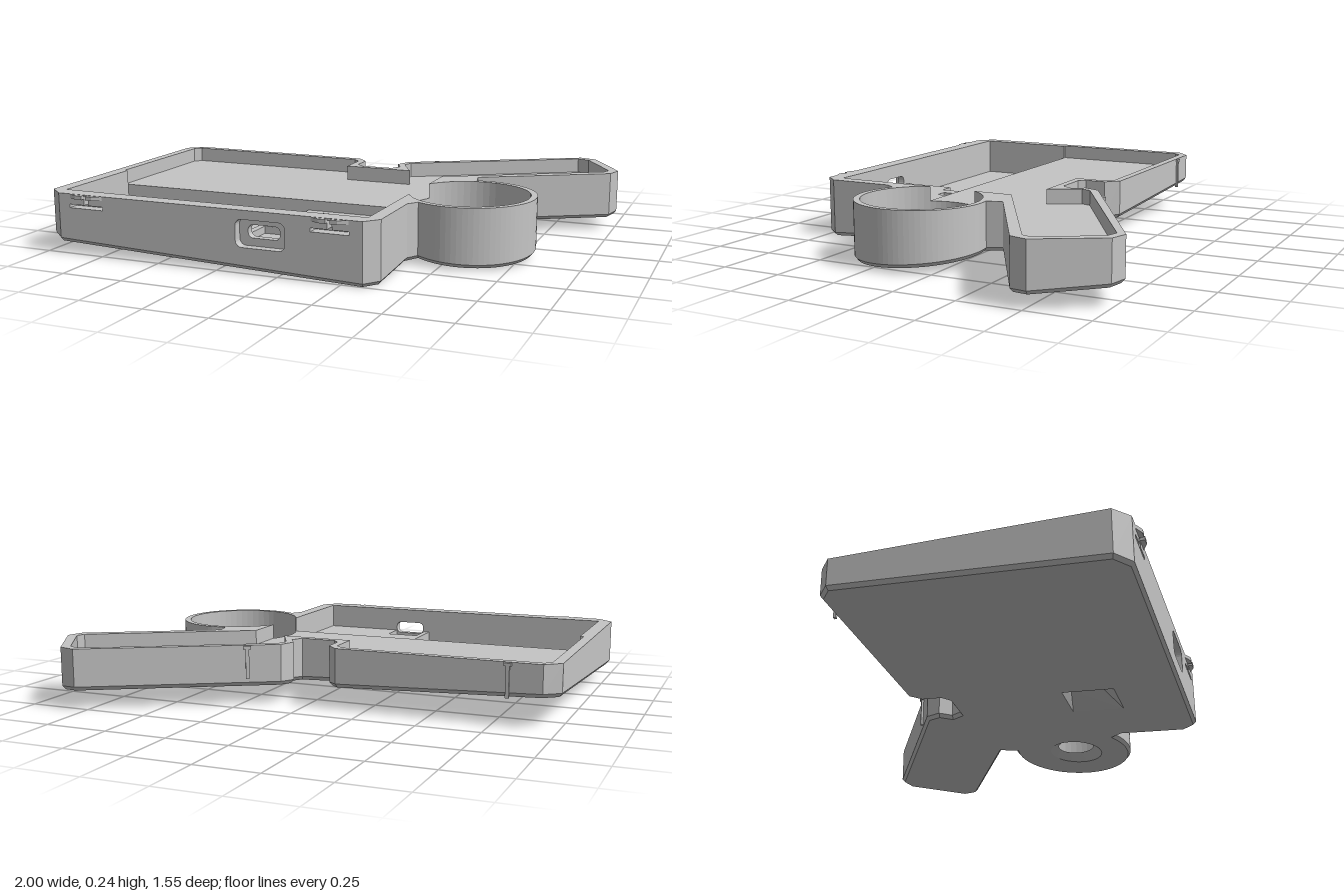
import * as THREE from 'three';

const TOP = 0.24, FLOOR = 0.18, POCKET = 0.08, DECK = 0.14, NOTCH = 0.112, CUP_FLOOR = 0.055;
const FRONT = 0.756;
const under = (x, z) => 0.058 - 0.037 * x - 0.061 * z; // tilted underside

// points are [x, z]
const arc = (cx, cz, r, a, b, n) => Array.from({ length: n + 1 }, (_, i) => {
  const t = a + (b - a) * i / n;
  return [cx + r * Math.cos(t), cz + r * Math.sin(t)];
});
const cupArc = (r, a, b, n) => arc(0.545, 0.165, r, a, b, n);
const rect = (x0, z0, x1, z1) => [[x0, z0], [x1, z0], [x1, z1], [x0, z1]];
const level = (pts, h) => pts.map(([x, z]) => [x, typeof h === 'function' ? h(x, z) : h, z]);

// move a closed outline inwards by d
function inset(pts, d) {
  const n = pts.length;
  const normal = (p, q) => {
    const l = Math.hypot(q[0] - p[0], q[1] - p[1]);
    return [-(q[1] - p[1]) / l, (q[0] - p[0]) / l];
  };
  return pts.map((p, i) => {
    const a = normal(pts[(i + n - 1) % n], p), b = normal(p, pts[(i + 1) % n]);
    const k = d / (1 + a[0] * b[0] + a[1] * b[1]);
    return [p[0] + (a[0] + b[0]) * k, p[1] + (a[1] + b[1]) * k];
  });
}

function roundedRect(x0, y0, x1, y1, r) {
  const q = Math.PI / 2;
  return [[x1 - r, y1 - r, 0], [x0 + r, y1 - r, 1], [x0 + r, y0 + r, 2], [x1 - r, y0 + r, 3]]
    .flatMap(([x, y, k]) => arc(x, y, r, k * q, (k + 1) * q, 5));
}

function shapeOf(pts, holes = []) {
  const v = (l) => l.map(([a, b]) => new THREE.Vector2(a, b));
  const s = new THREE.Shape(v(pts));
  holes.forEach((h) => s.holes.push(new THREE.Path(v(h))));
  return s;
}

export function createModel() {
  const model = new THREE.Group();
  model.name = 'handheldCaseTray';
  const grey = new THREE.MeshStandardMaterial({ color: 0xc5c5c5, side: THREE.DoubleSide });
  grey.name = 'plainGrey';

  const add = (name, geo) => {
    const m = new THREE.Mesh(geo, grey);
    m.name = name;
    model.add(m);
    return m;
  };

  // strip of flat quads between two rows of 3D points
  const band = (name, a, b, closed = false, skip = -1) => {
    const pos = [], n = a.length;
    for (let i = 0; i < (closed ? n : n - 1); i++) {
      if (i === skip) continue;
      const j = (i + 1) % n;
      pos.push(...a[i], ...a[j], ...b[j], ...a[i], ...b[j], ...b[i]);
    }
    const g = new THREE.BufferGeometry();
    g.setAttribute('position', new THREE.Float32BufferAttribute(pos, 3));
    g.computeVertexNormals();
    return add(name, g);
  };
  const wall = (name, pts, h0, h1, closed, skip) => band(name, level(pts, h1), level(pts, h0), closed, skip);

  // horizontal or tilted face
  const face = (name, pts, holes, h, down = false) => {
    const g = new THREE.ShapeGeometry(shapeOf(pts, holes));
    const p = g.attributes.position;
    for (let i = 0; i < p.count; i++) {
      const x = p.getX(i), z = p.getY(i);
      p.setXYZ(i, x, typeof h === 'function' ? h(x, z) : h, z);
    }
    if (!down) g.index.array.reverse();
    g.computeVertexNormals();
    return add(name, g);
  };
  const upright = (name, pts, holes, z) => {
    const m = add(name, new THREE.ShapeGeometry(shapeOf(pts, holes)));
    m.position.z = z;
  };

  // outer outline: body, notch, angled arm, round cup
  const outline = [
    [-1, -0.33], [-0.94, -0.382], [-0.13, -0.375], [-0.085, -0.325], [-0.085, -0.24], [-0.06, -0.215],
    [0.08, -0.215], [0.105, -0.26], [0.075, -0.31], [0.1, -0.375], [0.79, -0.775], [0.86, -0.755],
    [1, -0.515], [0.98, -0.445], [0.485, -0.155],
    ...cupArc(0.26, -1.745, 2.11, 48),
    [0.383, 0.43], [0.383, 0.7], [0.335, FRONT], [-0.935, FRONT], [-1, 0.7],
  ];
  const frontEdge = outline.length - 3;
  const base = inset(outline, 0.012);

  // inner edge of the rim, from pocket corner round to the cup
  const inner = [
    [-0.96, 0.265], [-0.96, -0.32], [-0.935, -0.348], [-0.145, -0.345], [-0.115, -0.315], [-0.115, -0.185],
    [0.175, -0.185], [0.107, -0.31], [0.122, -0.35], [0.785, -0.74], [0.835, -0.725], [0.96, -0.51],
    [0.948, -0.475], [0.34, -0.115], [0.34, 0.05],
  ];
  const cupFar = cupArc(0.235, -2.63, 2.725, 48);
  const cupNear = cupArc(0.235, -2.63, 2.725 - Math.PI * 2, 10);
  const pocketEdge = [[0.33, 0.265], [0.33, 0.69], [-0.945, 0.69], [-0.945, 0.265]];

  // shell
  const wallFoot = (x, z) => under(x, z) + 0.015;
  wall('outerWall', outline, wallFoot, TOP, true, frontEdge);
  band('bottomChamfer', level(outline, wallFoot), level(base, under), true);
  face('rim', outline, [[...inner, ...cupFar, ...pocketEdge]], TOP);
  wall('innerWall', inner, FLOOR, TOP);
  face('mainFloor', [...inner, ...cupNear.slice(1), [0.33, 0.265]], [], FLOOR);

  // cup with countersunk hole
  const hole = arc(0.545, 0.18, 0.078, 0, Math.PI * 2, 32).slice(0, -1);
  const sink = arc(0.545, 0.18, 0.115, 0, Math.PI * 2, 32).slice(0, -1);
  wall('cupWall', cupFar, CUP_FLOOR, TOP);
  wall('cupOpening', cupNear, CUP_FLOOR, FLOOR);
  face('cupFloor', cupArc(0.235, 0, Math.PI * 2, 48).slice(0, -1), [hole], CUP_FLOOR);
  band('cupHole', level(hole, CUP_FLOOR), level(sink, under), true);

  // pocket with a raised deck, notched in front of the port
  const slot = rect(-0.038, 0.295, 0.015, 0.42), slotFlare = rect(-0.06, 0.275, 0.125, 0.49);
  const step = [[-0.095, 0.265], [-0.095, 0.46], [-0.16, 0.46], [-0.16, 0.69]];
  const notch = [[-0.135, 0.69], [-0.135, 0.575], [0, 0.575], [0, 0.69]];
  face('pocketFloor', [[-0.945, 0.265], ...step, [-0.945, 0.69]], [], POCKET);
  face('pocketDeck', [...step, ...notch, [0.33, 0.69], [0.33, 0.265]], [slot], DECK);
  wall('deckStep', step, POCKET, DECK);
  wall('portNotchWall', notch, NOTCH, DECK);
  face('portNotchFloor', notch, [], NOTCH);
  wall('pocketBackWall', [[-0.96, 0.265], [0.33, 0.265]], POCKET, FLOOR);
  wall('pocketRightWall', [[0.33, 0.265], [0.33, 0.69]], POCKET, TOP);
  wall('pocketLeftWall', [[-0.945, 0.69], [-0.945, 0.265]], POCKET, TOP);
  wall('pocketCorner', [[-0.96, 0.265], [-0.945, 0.265]], FLOOR, TOP);

  // slot through the deck, flared below
  wall('slotWall', slot, 0.085, DECK, true);
  band('slotFlare', level(slot, 0.085), level(slotFlare, under), true);
  face('underside', base, [sink, slotFlare], under, true);

  // front wall with recessed port opening and clip grooves
  const recess = roundedRect(-0.165, 0.1, 0.035, 0.205, 0.025);
  const port = roundedRect(-0.13, 0.13, 0, 0.18, 0.02);
  const at = (pts, z) => pts.map(([x, y]) => [x, y, z]);
  const clips = [-0.81, 0.21];
  const grooves = clips.map((x) => [
    [-0.075, 0.185], [0.075, 0.185], [0.075, 0.199], [0.009, 0.199],
    [0.009, 0.232], [-0.009, 0.232], [-0.009, 0.199], [-0.075, 0.199],
  ].map(([a, y]) => [x + a, y]));
  const [left, right] = [-0.935, 0.335];
  upright('frontWall', [[left, wallFoot(left, FRONT)], [right, wallFoot(right, FRONT)], [right, TOP], [left, TOP]],
    [recess, ...grooves], FRONT);
  upright('frontInnerWall', [[-0.945, POCKET], [0.33, POCKET], [0.33, TOP], [-0.945, TOP]], [port], 0.69);
  upright('portPlate', recess, [port], 0.72);
  band('portRecess', at(recess, FRONT), at(recess, 0.72), true);
  band('portTunnel', at(port, 0.72), at(port, 0.69), true);
  for (const g of grooves) {
    band('clipGroove', at(g, FRONT), at(g, 0.71), true);
    upright('clipGrooveBack', g, [], 0.71);
  }

  // split lips above the clip grooves
  for (const x of clips) {
    for (const s of [-1, 1]) {
      const lip = [[0.009, 0.755], [0.075, 0.755], [0.037, 0.774], [0.009, 0.774]].map(([a, z]) => [x + s * a, z]);
      face('clipLip', lip, [], 0.239);
      face('clipLipUnderside', lip, [], 0.224, true);
      wall('clipLipEdge', lip, 0.224, 0.239, true);
    }
  }

  // back latch ribs on the body and the arm
  for (const [x, z, turn] of [[-0.81, -0.383, 0], [0.211, -0.445, Math.PI / 6]]) {
    for (const [name, w, h, d, y] of [['latchRib', 0.014, 0.13, 0.01, 0.172], ['latchHead', 0.028, 0.012, 0.018, 0.232]]) {
      const m = add(name, new THREE.BoxGeometry(w, h, d));
      m.position.set(x, y, z);
      m.rotation.y = turn;
    }
  }
  return model;
}
